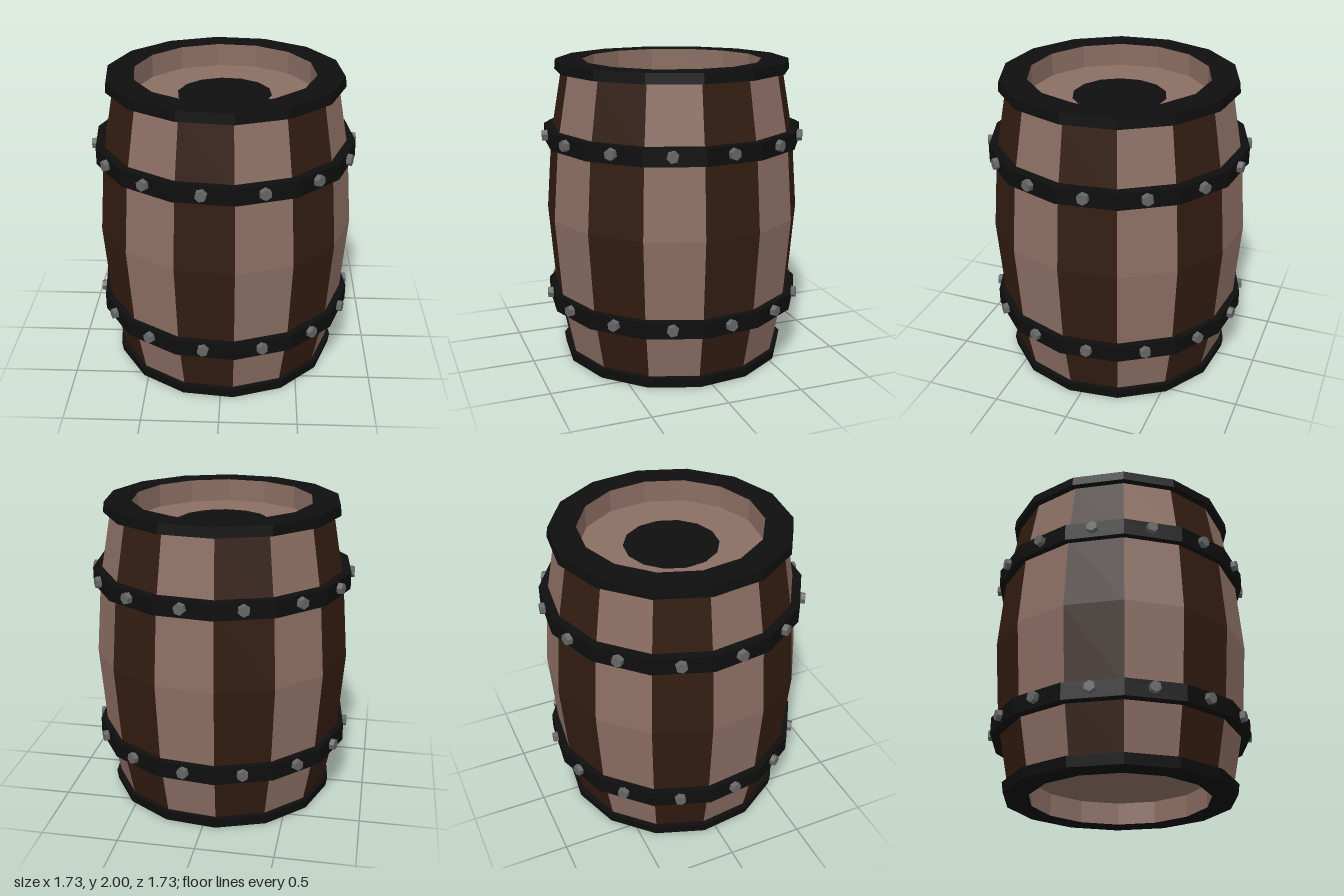
import * as THREE from 'three';

const SIDES = 14;
const STEP = (Math.PI * 2) / SIDES;
const START = STEP / 4; // angle of the first stave joint, from +z towards +x

const paint = (color) => new THREE.MeshStandardMaterial({ color, flatShading: true });
const lightWood = paint(0x8b6e63);
const darkWood = paint(0x321c11);
const iron = paint(0x0e0e0e);
const steel = paint(0x666666);

export function createModel() {
  const barrel = new THREE.Group();
  barrel.name = 'barrel';

  // Revolves a [radius, y] profile; rising profiles face outwards
  function turned(name, profile, material, start = START, segments = SIDES) {
    const points = profile.map(([r, y]) => new THREE.Vector2(r, y));
    const geometry = new THREE.LatheGeometry(points, segments, start, segments * STEP);
    const mesh = new THREE.Mesh(geometry, material);
    mesh.name = name;
    barrel.add(mesh);
    return mesh;
  }

  // Bulging staves, alternating light and dark
  const bulge = [[0.71, 0.02], [0.73, 0.07], [0.807, 0.46], [0.847, 1], [0.807, 1.5], [0.727, 1.94], [0.715, 1.98]];
  for (let i = 0; i < SIDES; i++) {
    turned('stave', bulge, i % 2 ? darkWood : lightWood, START + i * STEP, 1);
  }

  // Iron rims covering both ends
  turned('topRim', [[0.7, 1.935], [0.772, 1.935], [0.765, 2], [0.588, 2]], iron);
  turned('bottomRim', [[0.588, 0], [0.752, 0], [0.762, 0.067], [0.7, 0.067]], iron);

  // Recessed ends: inner wall, lid and dark centre disc on top
  turned('topInnerWall', [[0.588, 2], [0.588, 1.85]], lightWood);
  turned('lid', [[0.588, 1.85], [0.3, 1.85]], lightWood);
  turned('lidDisc', [[0.305, 1.852], [0, 1.852]], iron);
  turned('bottomInnerWall', [[0.588, 0.15], [0.588, 0]], lightWood);
  turned('base', [[0, 0.15], [0.588, 0.15]], lightWood);

  // Hoops with one hexagonal bolt in the middle of each side
  const boltGeometry = new THREE.CylinderGeometry(0.036, 0.041, 0.06, 6).rotateX(Math.PI / 2);
  for (const y of [0.433, 1.52]) {
    const low = y - 0.056, high = y + 0.054;
    turned('hoop', [[0.77, low], [0.853, low], [0.853, high], [0.77, high]], iron);
    for (let i = 0; i < SIDES; i++) {
      const angle = START + (i + 0.47) * STEP;
      const bolt = new THREE.Mesh(boltGeometry, steel);
      bolt.name = 'bolt';
      bolt.position.set(Math.sin(angle) * 0.835, y + 0.006, Math.cos(angle) * 0.835);
      bolt.rotation.set(0, angle, 0.25 * Math.sin(i * 2.3));
      barrel.add(bolt);
    }
  }
  return barrel;
}
